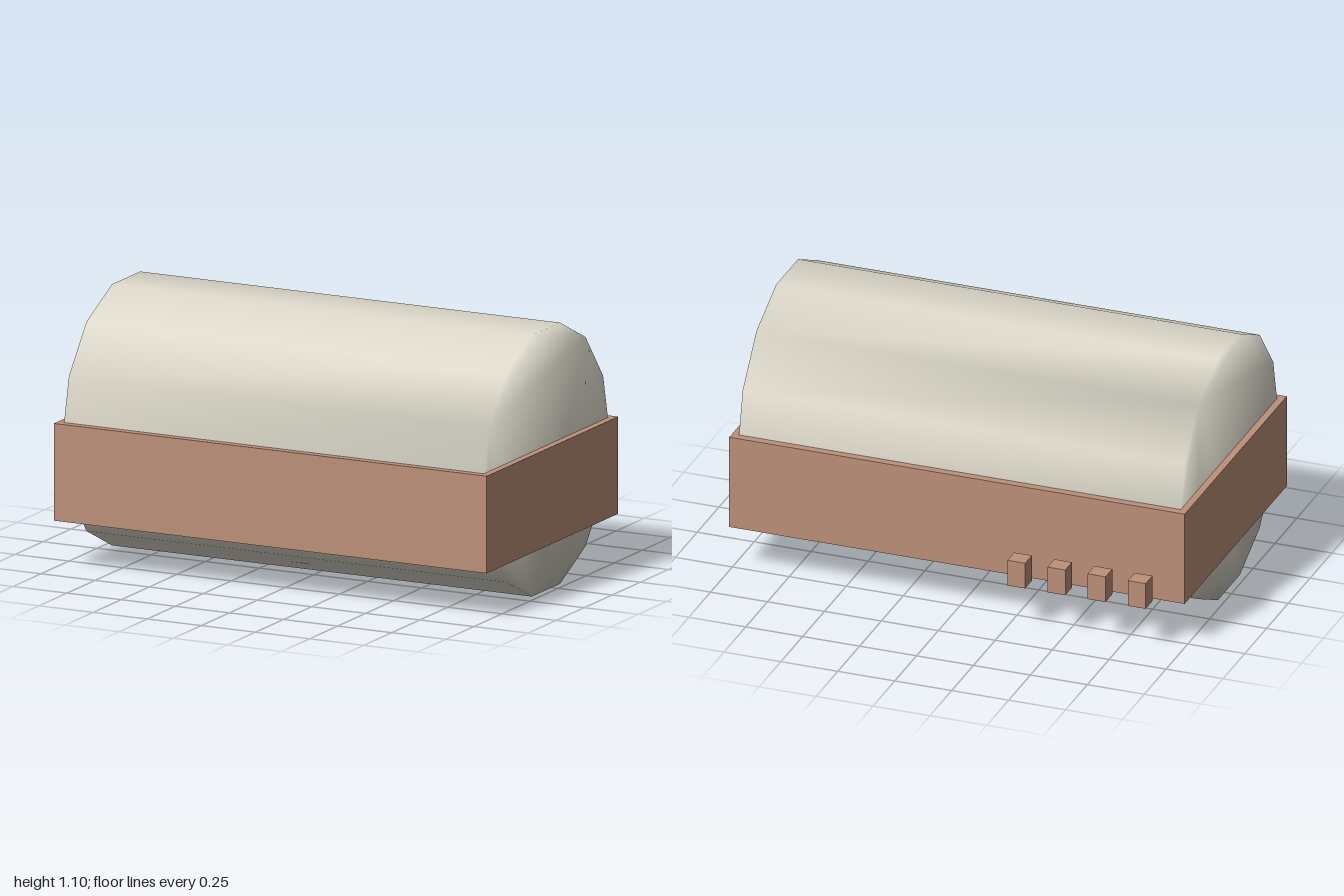
import * as THREE from 'three';
import { mergeVertices } from 'three/addons/utils/BufferGeometryUtils.js';

const CENTRE_Z = 0.05;

function rectangle(PathType, halfX, halfY) {
  const p = new PathType();
  p.moveTo(-halfX, -halfY);
  p.lineTo(halfX, -halfY);
  p.lineTo(halfX, halfY);
  p.lineTo(-halfX, halfY);
  p.closePath();
  return p;
}

export function createModel() {
  const model = new THREE.Group();
  const drumMaterial = new THREE.MeshStandardMaterial({ color: 0xdcd8ca });
  const frameMaterial = new THREE.MeshStandardMaterial({ color: 0xbc9079 });

  const add = (name, geometry, material, x, y, z) => {
    const mesh = new THREE.Mesh(geometry, material);
    mesh.name = name;
    mesh.position.set(x, y, z);
    model.add(mesh);
  };

  // Fourteen-sided drum lying along x, shaded smoothly across sides and ends
  const sides = 14, radius = 0.565, length = 1.94;
  const outline = [];
  for (let i = 0; i < sides; i++) {
    const a = (i / sides) * Math.PI * 2;
    outline.push(new THREE.Vector2(radius * Math.cos(a), radius * Math.sin(a)));
  }
  let drum = new THREE.ExtrudeGeometry(new THREE.Shape(outline), { depth: length, bevelEnabled: false });
  drum.translate(0, 0, -length / 2);
  drum.rotateY(Math.PI / 2);
  drum.deleteAttribute('normal');
  drum.deleteAttribute('uv');
  drum = mergeVertices(drum, 1e-4);
  drum.computeVertexNormals();
  add('drum', drum, drumMaterial, 0, 0.551, CENTRE_Z);

  // Open rectangular frame around the drum
  const wall = 0.06, halfX = 1, halfZ = 0.586;
  const ring = rectangle(THREE.Shape, halfX, halfZ);
  ring.holes.push(rectangle(THREE.Path, halfX - wall, halfZ - wall));
  const frame = new THREE.ExtrudeGeometry(ring, { depth: 0.41, bevelEnabled: false });
  frame.rotateX(-Math.PI / 2);
  add('frame', frame, frameMaterial, 0, 0.2, CENTRE_Z);

  // Row of small blocks behind the frame
  const block = new THREE.BoxGeometry(0.078, 0.115, 0.078);
  for (let i = 0; i < 4; i++) {
    add(`block${i + 1}`, block, frameMaterial, -0.828 + i * 0.1765, 0.2575, -0.597);
  }

  return model;
}
